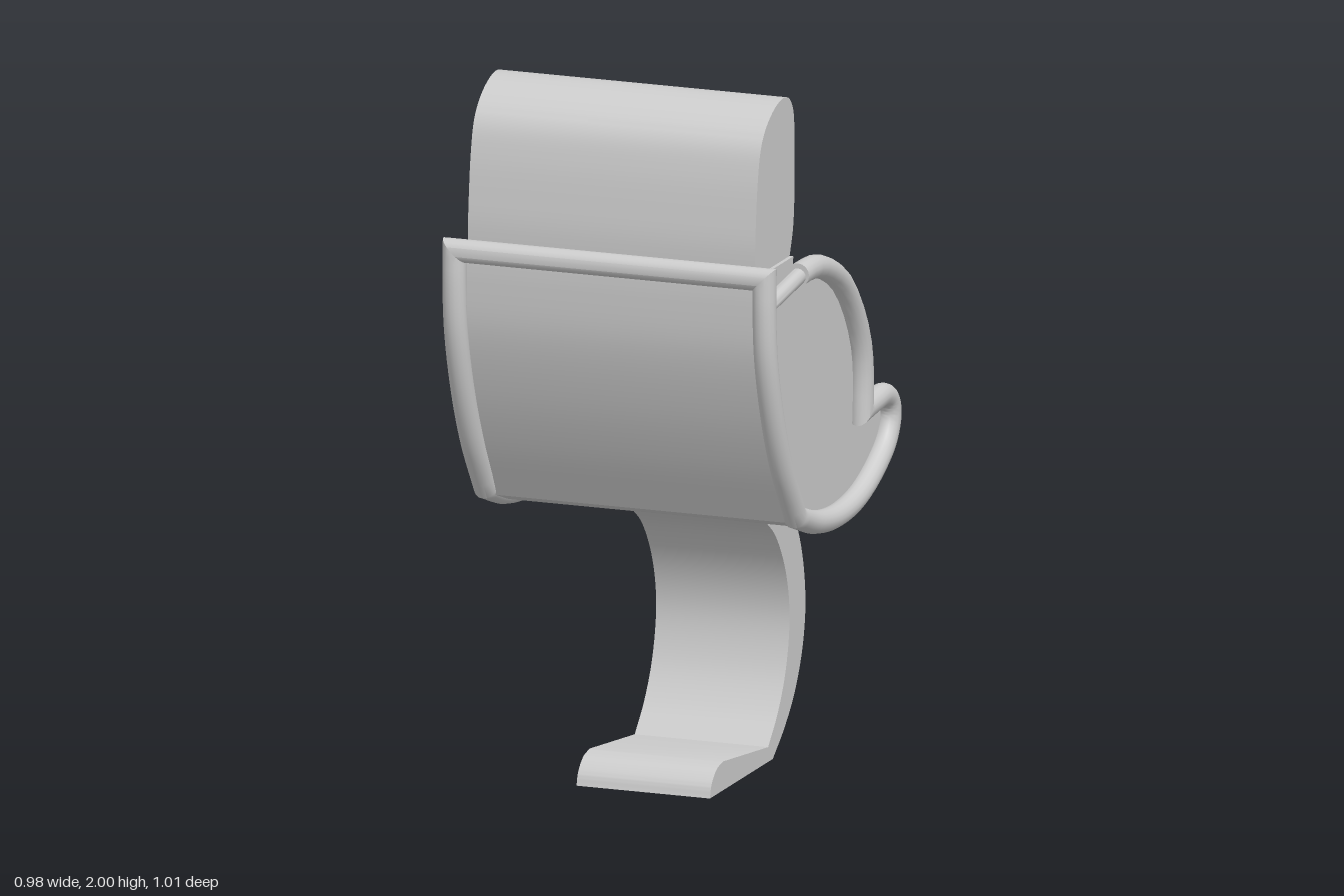
import * as THREE from 'three';
import { toCreasedNormals } from 'three/addons/utils/BufferGeometryUtils.js';

const material = new THREE.MeshStandardMaterial({ color: 0xcccccc });
const TUBE = 0.033;
const ARM_X = 0.459;

// Points along a smooth curve through [z, y] pairs, lying in the plane at x
const sample = (pts, n, x = 0) =>
  new THREE.CatmullRomCurve3(pts.map(([z, y]) => new THREE.Vector3(x, y, z)), false, 'centripetal').getPoints(n);

// Joins runs of points end to end, dropping the repeated ones
const join = (runs) => runs.flat().filter((p, i, all) => i === 0 || p.distanceTo(all[i - 1]) > 1e-4);

function add(parent, name, geometry) {
  const mesh = new THREE.Mesh(geometry, material);
  mesh.name = name;
  parent.add(mesh);
}

// Side profile made of smooth runs with corners between them, extruded from x0 to x1
function prism(runs, x0, x1) {
  const outline = join(runs.map((run) => sample(run, run.length > 2 ? run.length * 5 : 1)))
    .map((p) => new THREE.Vector2(p.z, p.y));
  if (outline[0].distanceTo(outline[outline.length - 1]) < 1e-4) outline.pop();
  const g = new THREE.ExtrudeGeometry(new THREE.Shape(outline), { depth: x1 - x0, bevelEnabled: false });
  g.rotateY(-Math.PI / 2).translate(x1, 0, 0);
  return toCreasedNormals(g, 0.6);
}

// Round tube along a path, mitred at every corner and capped at both ends
function mitredTube(path, r, sides = 16) {
  const dirs = path.slice(1).map((p, i) => p.clone().sub(path[i]).normalize());
  const u = new THREE.Vector3(1, 0, 0).cross(dirs[0]).normalize();
  const v = dirs[0].clone().cross(u);
  let ring = Array.from({ length: sides }, (_, j) => {
    const a = (j / sides) * Math.PI * 2;
    return path[0].clone().addScaledVector(u, r * Math.cos(a)).addScaledVector(v, r * Math.sin(a));
  });
  const pos = [], index = [];
  path.forEach((p, i) => {
    if (i > 0) {
      const d = dirs[i - 1];
      const n = d.clone().add(dirs[i] ?? d).normalize();
      ring = ring.map((q) => q.clone().addScaledVector(d, p.clone().sub(q).dot(n) / d.dot(n)));
    }
    ring.forEach((q) => pos.push(q.x, q.y, q.z));
  });
  const last = (path.length - 1) * sides;
  pos.push(...path[0].toArray(), ...path[path.length - 1].toArray());
  for (let j = 0; j < sides; j++) {
    const k = (j + 1) % sides;
    for (let a = 0; a < last; a += sides) {
      index.push(a + j, a + k, a + sides + j, a + k, a + sides + k, a + sides + j);
    }
    index.push(last + sides, k, j, last + sides + 1, last + j, last + k);
  }
  const g = new THREE.BufferGeometry();
  g.setAttribute('position', new THREE.Float32BufferAttribute(pos, 3));
  g.setIndex(index);
  return toCreasedNormals(g, 0.6);
}

// Frame lines of one side as [z, y], from the top of the back round to the armrest
const backRun = [[0.473, 1.54], [0.475, 1.45], [0.463, 1.31], [0.413, 1.13], [0.34, 0.965], [0.24, 0.81]];
const underRun = [[0.24, 0.81], [0.1, 0.763], [-0.06, 0.743], [-0.22, 0.76], [-0.35, 0.81], [-0.44, 0.872],
  [-0.471, 0.936], [-0.457, 0.982], [-0.415, 1.004], [-0.34, 1.002], [-0.259, 0.995]];
const armRun = [[-0.259, 0.995], [-0.263, 1.09], [-0.247, 1.19], [-0.19, 1.3], [-0.1, 1.4],
  [0.01, 1.462], [0.11, 1.492], [0.222, 1.495]];

function createModel() {
  const model = new THREE.Group();

  // Seat shell: back, underside, front roll and hollow seat
  add(model, 'seatShell', prism([
    [[0.457, 1.54], [0.457, 1.45], [0.445, 1.31], [0.396, 1.13], [0.328, 0.965], [0.235, 0.79]],
    [[0.235, 0.79], [0.1, 0.745], [-0.06, 0.726], [-0.22, 0.744], [-0.36, 0.795], [-0.46, 0.863], [-0.492, 0.94],
      [-0.47, 1.0], [-0.41, 1.027], [-0.34, 1.03], [-0.28, 1.016], [-0.22, 0.983], [-0.17, 0.953], [-0.11, 0.934],
      [-0.04, 0.937], [0.03, 0.966], [0.1, 1.024], [0.16, 1.105], [0.2, 1.2], [0.216, 1.32], [0.212, 1.43],
      [0.198, 1.54]],
  ], -0.436, 0.436));

  // Headrest on top of the back
  add(model, 'headrest', prism([
    [[0.457, 1.54], [0.458, 1.62], [0.453, 1.69], [0.438, 1.81], [0.415, 1.895], [0.378, 1.944], [0.31, 1.986],
      [0.245, 2.0], [0.2, 1.988], [0.172, 1.953], [0.162, 1.9], [0.162, 1.8], [0.162, 1.7], [0.173, 1.61],
      [0.198, 1.54]],
  ], -0.425, 0.425));

  // Bent tube frame: both sides joined by a bar across the top of the back
  const framePath = (x) => [sample(backRun, 24, x), sample(underRun, 55, x), sample(armRun, 14, x)];
  const rightRuns = framePath(-ARM_X).reverse().map((run) => run.reverse());
  add(model, 'tubeFrame', mitredTube(join([...rightRuns, ...framePath(ARM_X)]), TUBE));

  // Side panels, and the thin links from armrest to back
  for (const side of [1, -1]) {
    const arm = new THREE.Group();
    arm.name = side > 0 ? 'leftSide' : 'rightSide';
    model.add(arm);
    const [x0, x1] = side > 0 ? [0.432, 0.443] : [-0.443, -0.432];
    add(arm, 'sidePanel', prism([backRun.slice(1), underRun, armRun, [[0.222, 1.495], [0.475, 1.45]]], x0, x1));
    add(arm, 'armLink', mitredTube(sample([[0.2, 1.493], [0.46, 1.46]], 1, side * ARM_X), 0.023));
  }

  // Curved pedestal and flat foot
  add(model, 'pedestal', prism([
    [[-0.03, 0.75], [-0.1, 0.705], [-0.205, 0.63], [-0.285, 0.505], [-0.312, 0.375], [-0.285, 0.235],
      [-0.225, 0.125], [-0.15, 0.042]],
    [[-0.15, 0.042], [0.19, 0.082]],
    [[0.19, 0.082], [0.24, 0.07], [0.278, 0.035], [0.29, 0]],
    [[0.29, 0], [-0.185, 0]],
    [[-0.185, 0], [-0.27, 0.065], [-0.35, 0.15], [-0.41, 0.265], [-0.432, 0.39], [-0.405, 0.54],
      [-0.34, 0.66], [-0.245, 0.745], [-0.2, 0.78]],
  ], -0.17, 0.225));

  return model;
}

export { createModel };
